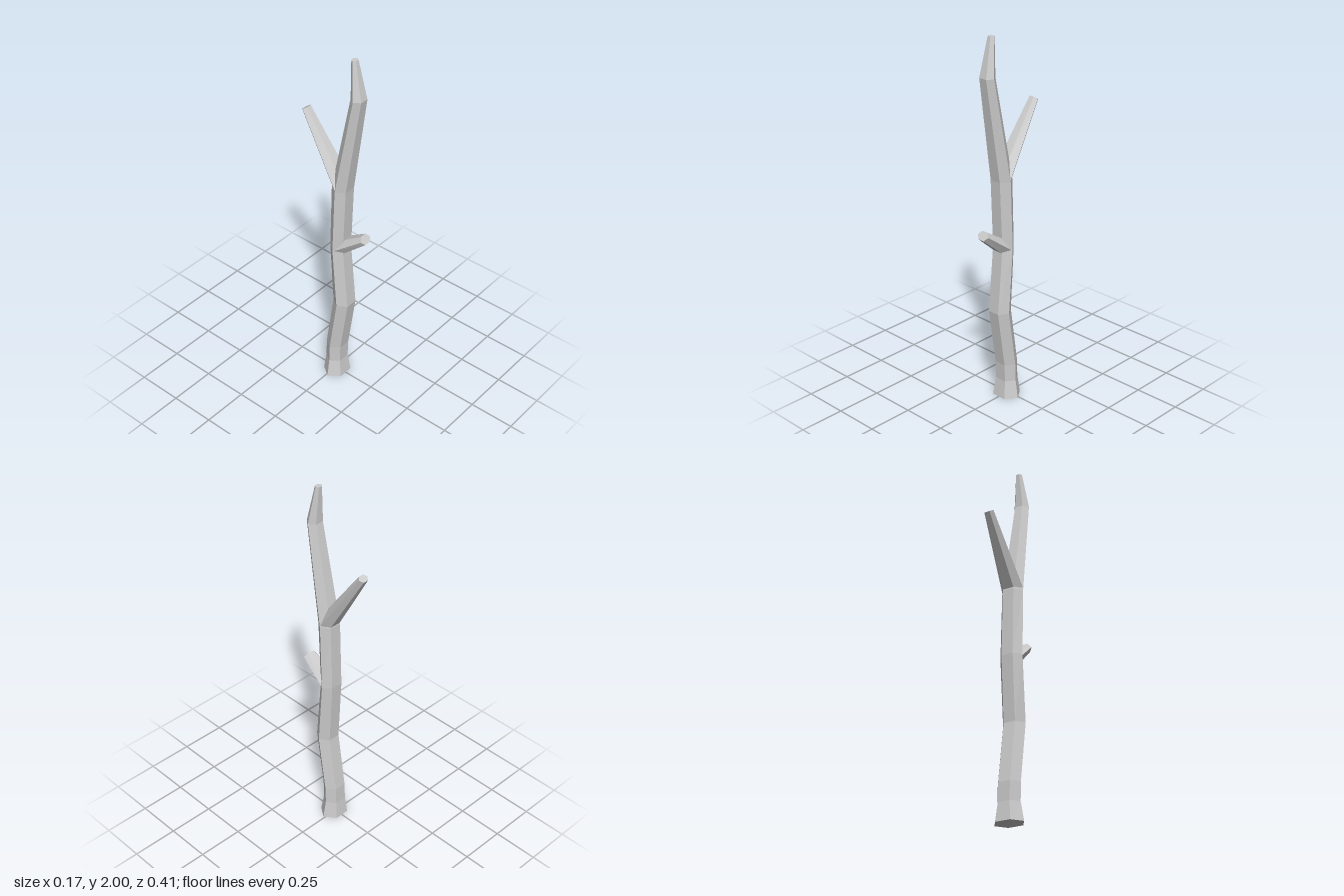
import * as THREE from 'three';

const SIDES = 6;

// Faceted limb: each ring is [y, z, halfWidth, halfDepth, x]; rings lie square to dir (dy, dz).
function limb(name, rings, dy, dz) {
  const loops = rings.map(([y, z, w, d, x = 0]) => {
    const loop = [];
    for (let i = 0; i < SIDES; i++) {
      const a = (i / SIDES) * Math.PI * 2;
      const f = (Math.sin(a) * d) / Math.sin(Math.PI / 3);
      loop.push(new THREE.Vector3(x + Math.cos(a) * w, y - dz * f, z + dy * f));
    }
    return loop;
  });
  const points = [];
  const first = loops[0];
  const last = loops[loops.length - 1];
  const centre = (i) => new THREE.Vector3(rings[i][4] ?? 0, rings[i][0], rings[i][1]);
  const bottom = centre(0);
  const top = centre(rings.length - 1);
  for (let i = 0; i < SIDES; i++) {
    const j = (i + 1) % SIDES;
    for (let k = 0; k < loops.length - 1; k++) {
      const lo = loops[k];
      const hi = loops[k + 1];
      points.push(lo[j], lo[i], hi[i], lo[j], hi[i], hi[j]);
    }
    points.push(bottom, first[i], first[j], top, last[j], last[i]);
  }
  const geometry = new THREE.BufferGeometry().setFromPoints(points);
  geometry.computeVertexNormals();
  const mesh = new THREE.Mesh(
    geometry,
    new THREE.MeshStandardMaterial({ color: 0xcccccc, flatShading: true })
  );
  mesh.name = name;
  return mesh;
}

export function createModel() {
  const group = new THREE.Group();
  group.name = 'bareTree';

  // Crooked trunk with a flared foot and a tapering tip
  group.add(limb('trunk', [
    [0, 0.01, 0.084, 0.06],
    [0.1, 0.008, 0.066, 0.048],
    [0.2, 0.011, 0.066, 0.048],
    [0.52, 0.059, 0.066, 0.048],
    [0.88, 0.032, 0.066, 0.042],
    [1.25, 0.045, 0.064, 0.045],
    [1.8, 0.141, 0.046, 0.032],
    [2.0, 0.114, 0.019, 0.014],
  ], 1, 0));

  // Long branch reaching up and back
  group.add(limb('backBranch', [
    [1.265, 0.043, 0.063, 0.04],
    [1.623, -0.189, 0.028, 0.019],
  ], 0.84, -0.54));

  // Short stub reaching up and forward
  group.add(limb('frontTwig', [
    [0.875, 0.035, 0.062, 0.037],
    [0.987, 0.187, 0.036, 0.024, 0.008],
  ], 0.6, 0.8));

  return group;
}
